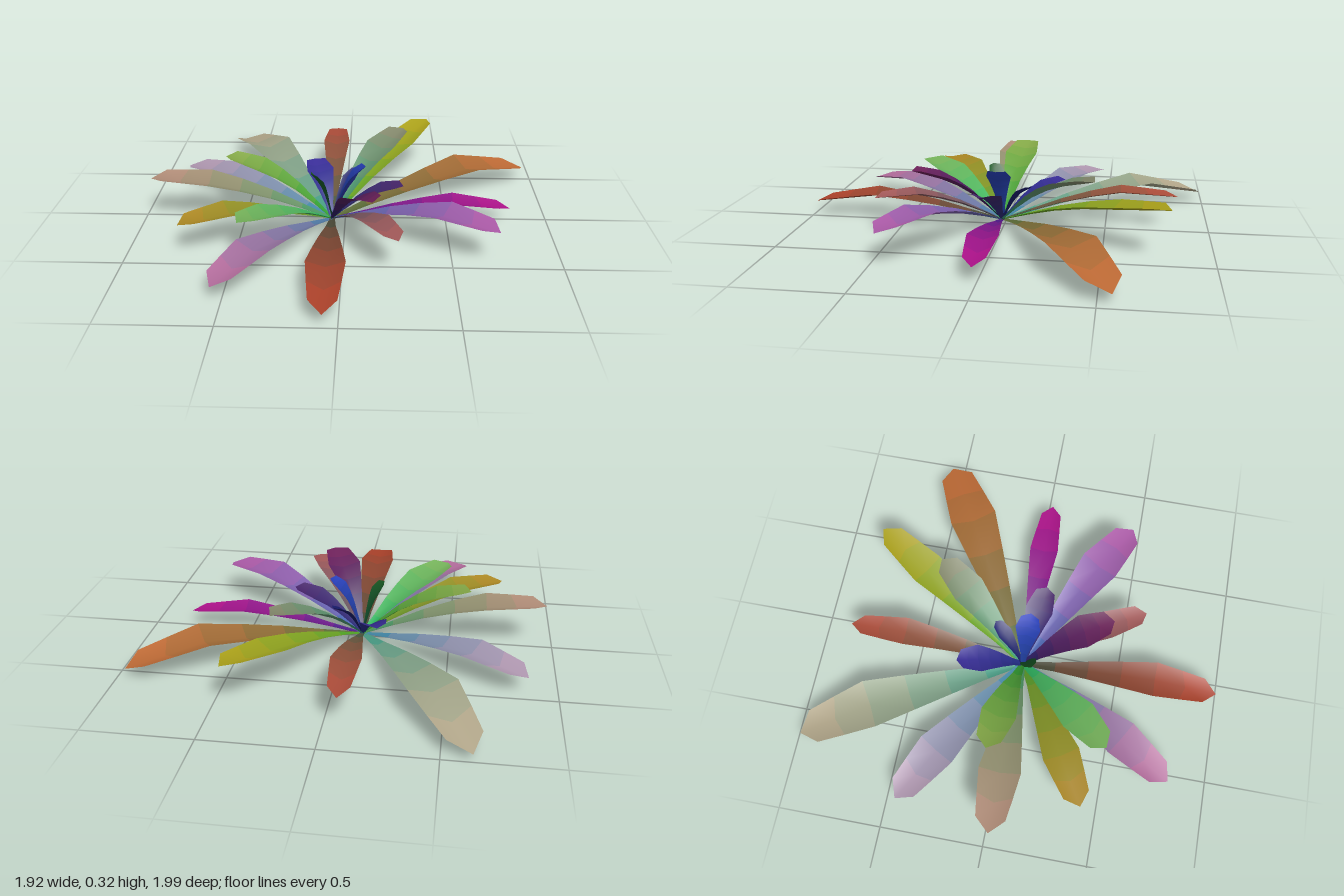
import * as THREE from 'three';

// Point where all leaves meet
const ROOT = new THREE.Vector3(-0.065, 0, 0.02);
const FOLD = 0.33; // how far the edges rise above the midrib, per half width

// Long, low leaves: tip x, tip z, tip height, half width, root colour, tip colour, height at widest point
const OUTER = [
  [-0.63, -0.99, 0.03, 0.12, 0x2f9c85, 0xb8a78a, 0.105],
  [-0.065, -0.85, 0.155, 0.07, 0x3a5a40, 0xb04a38, 0.165],
  [0.44, -0.80, 0.235, 0.09, 0x3fa526, 0xb0a018, 0.18],
  [0.96, -0.56, 0.045, 0.12, 0x466a35, 0xc46a35, 0.11],
  [0.815, 0.02, 0.07, 0.072, 0x3a1a85, 0xb01088, 0.095],
  [0.71, 0.46, 0.16, 0.10, 0x3565b0, 0xb058a5, 0.17],
  [0.25, 0.59, 0.18, 0.072, 0x405060, 0xa85a58, 0.175],
  [-0.065, 0.995, 0.06, 0.088, 0x354a38, 0xb04028, 0.10],
  [-0.545, 0.815, 0.07, 0.095, 0x3a7aa5, 0xb86a9a, 0.105],
  [-0.755, 0.42, 0.155, 0.09, 0x4a9a28, 0xb08522, 0.155],
  [-0.96, 0.025, 0.21, 0.10, 0x359560, 0xb58a78, 0.185],
  [-0.865, -0.45, 0.08, 0.098, 0x2585a5, 0xb598b0, 0.10],
];

// Short, raised leaves: same columns, the widest point follows from the tip height
const INNER = [
  [0.295, -0.455, 0.31, 0.085, 0x259a70, 0x87856a],
  [-0.595, -0.055, 0.30, 0.085, 0x20a030, 0x88a848],
  [-0.47, 0.495, 0.21, 0.09, 0x1fb560, 0x78b058],
  [0.135, 0.435, 0.29, 0.085, 0x1c1a60, 0x702058],
  [0.285, 0.08, 0.21, 0.07, 0x252a75, 0x482468],
  [-0.17, -0.29, 0.195, 0.07, 0x1f2a80, 0x3a2c98],
  [0.10, 0.03, 0.29, 0.062, 0x1c3a90, 0x2840c0],
  [0.06, -0.14, 0.21, 0.038, 0x141c60, 0x1a1c70],
  [-0.165, 0.08, 0.27, 0.042, 0x105030, 0x185a20],
];

function createLeaf(name, [tipX, tipZ, tipY, half, rootColor, tipColor, midY = tipY * 0.82]) {
  const reach = new THREE.Vector3(tipX - ROOT.x, 0, tipZ - ROOT.z);
  const length = reach.length();
  const along = reach.normalize();
  const side = new THREE.Vector3(along.z, 0, -along.x);
  const up = new THREE.Vector3(0, 1, 0);
  const bend = (t) => THREE.MathUtils.lerp(midY, tipY, t);

  // Sections: midrib distance, edge distance, midrib height, edge height, half width
  const sections = [
    [0, 0, 0, 0, 0.012],
    [0.17, 0.17, midY * 0.33, midY * 0.33, half * 0.28],
    [0.34, 0.34, midY * 0.62, midY * 0.62, half * 0.53],
    [0.51, 0.51, midY * 0.84, midY * 0.84, half * 0.77],
    [0.68, 0.68, midY, midY, half],
    [0.84, 0.81, bend(0.5), bend(0.42), half * 0.85],
    [1, 0.93, tipY, bend(0.8), half * 0.7],
  ];
  const last = sections.length - 1;

  const positions = [];
  sections.forEach(([midT, edgeT, yMid, yEdge, w], i) => {
    // Leaf normal follows the slope of the midrib
    const a = sections[Math.max(i - 1, 0)];
    const b = sections[Math.min(i + 1, last)];
    const tangent = along.clone().multiplyScalar((b[0] - a[0]) * length).addScaledVector(up, b[2] - a[2]).normalize();
    const normal = tangent.clone().cross(side).normalize();
    for (const s of [-1, 0, 1]) {
      const p = ROOT.clone()
        .addScaledVector(along, (s ? edgeT : midT) * length)
        .addScaledVector(up, s ? yEdge : yMid)
        .addScaledVector(side, s * w);
      if (s) p.addScaledVector(normal, w * FOLD);
      positions.push(p.x, p.y, p.z);
    }
  });

  const bands = [];
  for (let i = 0; i < last; i++) {
    const index = [];
    for (const a of [i * 3, i * 3 + 1]) index.push(a, a + 1, a + 3, a + 1, a + 4, a + 3);
    bands.push(index);
  }
  const whole = new THREE.BufferGeometry();
  whole.setAttribute('position', new THREE.Float32BufferAttribute(positions, 3));
  whole.setIndex(bands.flat());
  whole.computeVertexNormals();

  // Bands blend from root to tip colour and share smooth normals
  const leaf = new THREE.Group();
  leaf.name = name;
  bands.forEach((index, i) => {
    const geometry = whole.clone();
    geometry.setIndex(index);
    const color = new THREE.Color(rootColor).lerp(new THREE.Color(tipColor), (i + 0.5) / last);
    const mesh = new THREE.Mesh(geometry, new THREE.MeshStandardMaterial({ color, side: THREE.DoubleSide }));
    mesh.name = 'leafBand';
    leaf.add(mesh);
  });
  return leaf;
}

export function createModel() {
  const plant = new THREE.Group();
  plant.name = 'leafyPlant';
  for (const spec of OUTER) plant.add(createLeaf('outerLeaf', spec));
  for (const spec of INNER) plant.add(createLeaf('innerLeaf', spec));
  return plant;
}
